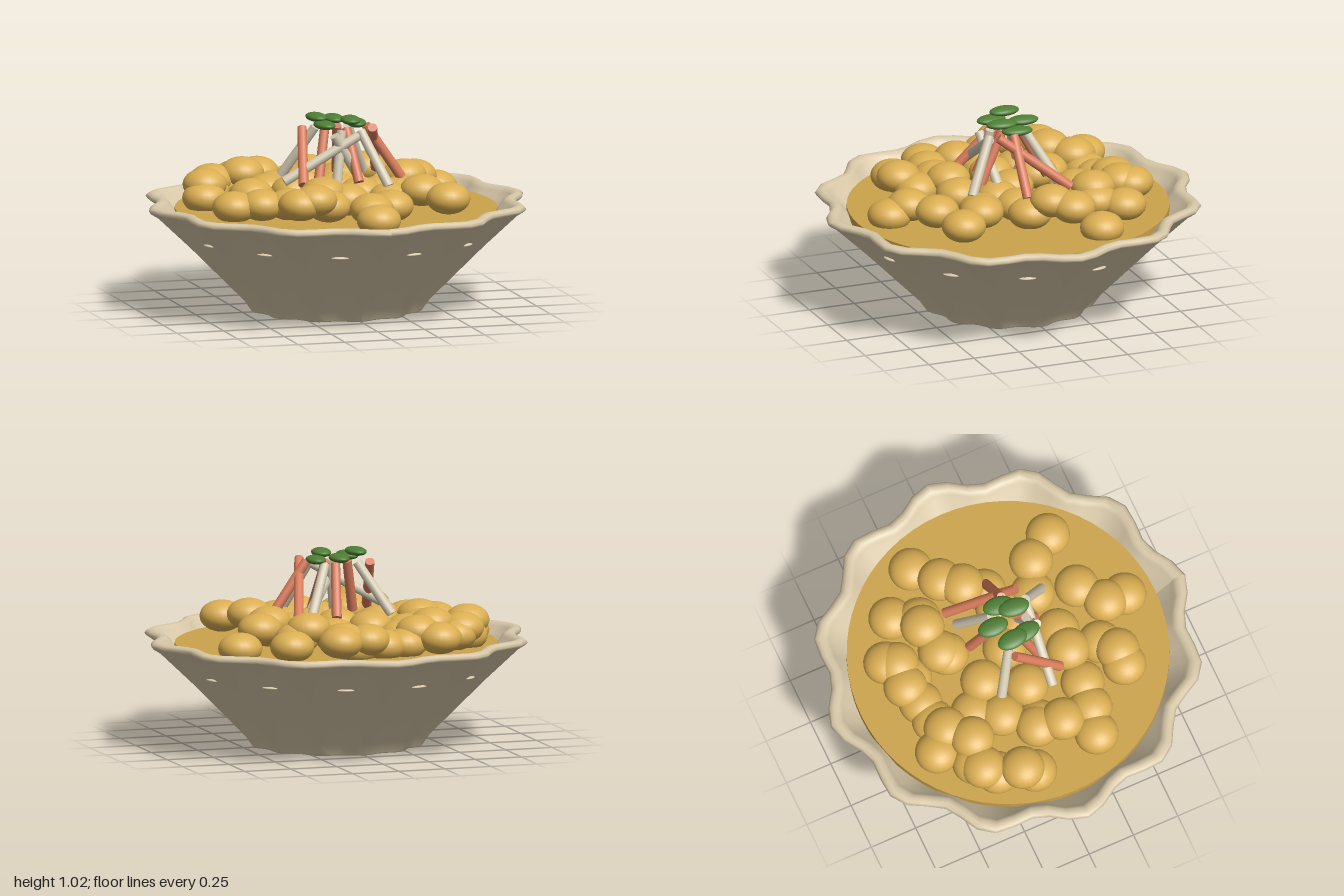
import * as THREE from 'three';

const mat = (name, color) => {
  const m = new THREE.MeshStandardMaterial({ color });
  m.name = name;
  return m;
};

export function createModel() {
  const clay = mat('clay', 0xd8c8a8);
  const broth = mat('broth', 0xcba34b);
  const dumplingGold = mat('dumplingGold', 0xdaae52);
  const coral = mat('coral', 0xd97c5c);
  const cream = mat('cream', 0xd6ccb4);
  const leafGreen = mat('leafGreen', 0x4f7f35);

  const model = new THREE.Group();
  model.name = 'bowlOfStew';
  const add = (name, geometry, material, parent = model) => {
    const mesh = new THREE.Mesh(geometry, material);
    mesh.name = name;
    parent.add(mesh);
    return mesh;
  };
  const group = (name) => {
    const g = new THREE.Group();
    g.name = name;
    model.add(g);
    return g;
  };

  // Bowl: lathed wall pressed into twelve scallops
  const profile = [
    [0, 0], [0.43, 0], [0.448, 0], [0.452, 0.006], [0.49, 0.06], [0.62, 0.19], [0.78, 0.35], [0.95, 0.51],
    [0.99, 0.535], [1, 0.548], [0.99, 0.562], [0.97, 0.57], [0.945, 0.566], [0.925, 0.55],
    [0.9, 0.515], [0.72, 0.34], [0.46, 0.08], [0, 0.07],
  ].map(([r, y]) => new THREE.Vector2(r, y));
  const bowl = new THREE.LatheGeometry(profile, 64);
  const p = bowl.attributes.position;
  for (let i = 0; i < p.count; i++) {
    const angle = Math.atan2(p.getX(i), p.getZ(i));
    const k = 0.96 + 0.04 * Math.cos(12 * angle);
    p.setXYZ(i, p.getX(i) * k, p.getY(i), p.getZ(i) * k);
  }
  bowl.computeVertexNormals();
  add('bowl', bowl, clay);

  // Small raised beads in the hollows between scallops
  const beads = group('rimBeads');
  const ball = new THREE.SphereGeometry(1, 24, 16);
  for (let i = 0; i < 12; i++) {
    const a = ((i + 0.5) * Math.PI) / 6;
    const bead = add('bead', ball, clay, beads);
    bead.position.set(Math.sin(a) * 0.765, 0.39, Math.cos(a) * 0.765);
    bead.rotation.y = a;
    bead.scale.set(0.045, 0.008, 0.018);
  }

  // Filling
  const filling = add('filling', new THREE.CylinderGeometry(0.828, 0.828, 0.04, 64), broth);
  filling.position.y = 0.505;

  // Dumplings: x, z, y
  const dumplings = group('dumplings');
  [
    [-0.64, -0.21, 0.64], [-0.66, -0.15, 0.58], [-0.55, -0.39, 0.63], [-0.59, -0.33, 0.58],
    [-0.5, -0.42, 0.6], [-0.39, -0.38, 0.66], [-0.37, -0.57, 0.61], [-0.28, -0.48, 0.64],
    [-0.2, -0.51, 0.58], [-0.08, -0.53, 0.58], [0.02, -0.57, 0.62], [0.18, -0.61, 0.62],
    [0.15, -0.56, 0.63], [0.07, -0.52, 0.57], [0.4, -0.48, 0.59], [0.61, -0.27, 0.56],
    [0.47, -0.17, 0.64], [0.39, -0.08, 0.66], [0.27, -0.36, 0.66], [0.12, -0.33, 0.62],
    [0.33, -0.35, 0.61], [0.1, -0.3, 0.6], [-0.24, -0.31, 0.59], [-0.32, -0.18, 0.6],
    [-0.12, -0.2, 0.63], [-0.45, -0.04, 0.6], [-0.42, -0.02, 0.58], [-0.48, 0.09, 0.63],
    [-0.61, 0.22, 0.59], [-0.47, 0.25, 0.6], [-0.33, 0.27, 0.6], [-0.15, 0.27, 0.65],
    [-0.02, 0.27, 0.61], [0.22, 0.24, 0.6], [0.37, 0.3, 0.645], [-0.23, 0, 0.62],
    [0.1, 0.1, 0.61], [0.22, 0.04, 0.6], [0.34, 0.02, 0.59], [0, -0.02, 0.62],
    [-0.34, 0.5, 0.635], [-0.26, 0.5, 0.655], [-0.17, 0.44, 0.61], [0.16, 0.46, 0.6],
    [0.47, 0.44, 0.62], [0.025, 0.56, 0.605], [0.03, 0.67, 0.565],
  ].forEach(([x, z, y]) => {
    const d = add('dumpling', ball, dumplingGold, dumplings);
    d.position.set(x, y, z);
    d.scale.set(0.114, 0.082, 0.114);
  });

  // Leaning vegetable sticks: top and bottom points
  const sticks = group('vegetableSticks');
  const stick = (material, top, bottom) => {
    const a = new THREE.Vector3(...top), b = new THREE.Vector3(...bottom);
    const s = add('stick', new THREE.CylinderGeometry(0.024, 0.026, a.distanceTo(b), 14), material, sticks);
    s.position.copy(a).add(b).multiplyScalar(0.5);
    s.quaternion.setFromUnitVectors(new THREE.Vector3(0, 1, 0), a.sub(b).normalize());
  };
  [
    [[0.16, 0.95, 0.12], [0.28, 0.68, -0.23]],
    [[0.15, 0.95, 0.03], [0.34, 0.67, 0.03]],
    [[-0.17, 0.94, -0.04], [-0.23, 0.68, 0.19]],
    [[0.04, 0.94, 0.05], [0.07, 0.68, 0.18]],
    [[-0.07, 0.94, 0.03], [-0.13, 0.67, 0.12]],
    [[0.02, 0.94, -0.05], [0.06, 0.68, -0.19]],
  ].forEach(([a, b]) => stick(coral, a, b));
  [
    [[-0.1, 0.94, -0.04], [-0.25, 0.68, -0.15]],
    [[0.08, 0.94, -0.06], [0.2, 0.68, -0.2]],
    [[0.09, 0.94, 0.14], [0.2, 0.67, 0.28]],
    [[0.09, 0.92, 0.14], [-0.31, 0.69, 0.11]],
    [[-0.05, 0.92, 0.14], [0.1, 0.68, 0.1]],
    [[0, 0.94, 0.1], [-0.04, 0.67, 0.15]],
  ].forEach(([a, b]) => stick(cream, a, b));

  // Herb leaves resting on the sticks: x, y, z, turn
  const leaves = group('herbLeaves');
  [
    [-0.1, 0.995, -0.02, 0.1], [0.06, 0.985, 0.06, -0.1], [0.01, 0.973, -0.08, 0],
    [-0.08, 0.965, 0.06, 0.15], [0.11, 0.958, -0.005, -0.1],
  ].forEach(([x, y, z, turn]) => {
    const leaf = add('leaf', ball, leafGreen, leaves);
    leaf.position.set(x, y, z);
    leaf.rotation.y = turn;
    leaf.scale.set(0.05, 0.023, 0.082);
  });

  return model;
}
